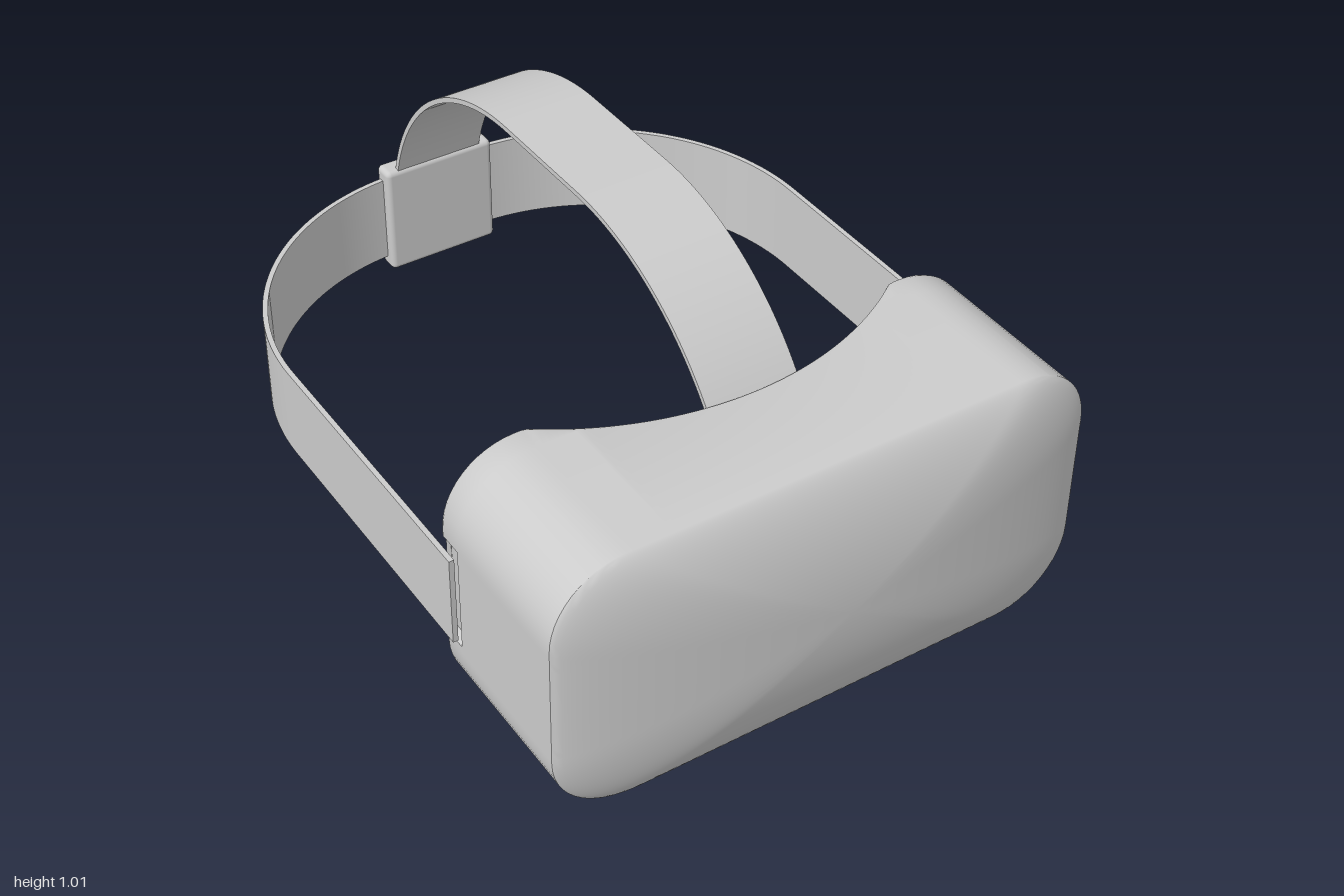
import * as THREE from 'three';
import { toCreasedNormals } from 'three/addons/utils/BufferGeometryUtils.js';
import { RoundedBoxGeometry } from 'three/addons/geometries/RoundedBoxGeometry.js';

const grey = new THREE.MeshStandardMaterial({ color: 0xcccccc });
const thin = new THREE.MeshStandardMaterial({ color: 0xcccccc, side: THREE.DoubleSide });
const MID = 0.372;

function add(parent, name, geometry, material = grey) {
  const mesh = new THREE.Mesh(geometry, material);
  mesh.name = name;
  parent.add(mesh);
  return mesh;
}

// Rounded rectangle, counter-clockwise, always with the same number of points
function outline(hx, hy, r) {
  const pts = [];
  const corner = (cx, cy, a0) => {
    for (let i = 0; i < 12; i++) {
      const a = a0 + (i / 12) * Math.PI / 2;
      pts.push([cx + r * Math.cos(a), cy + r * Math.sin(a)]);
    }
  };
  const edge = (x0, y0, x1, y1, n) => {
    for (let i = 0; i < n; i++) pts.push([x0 + (x1 - x0) * i / n, y0 + (y1 - y0) * i / n]);
  };
  const X = hx - r, Y = hy - r;
  edge(hx, -Y, hx, Y, 24);
  corner(X, Y, 0);
  edge(X, hy, -X, hy, 64);
  corner(-X, Y, Math.PI / 2);
  edge(-hx, Y, -hx, -Y, 24);
  corner(-X, -Y, Math.PI);
  edge(-X, -hy, X, -hy, 64);
  corner(X, -Y, -Math.PI / 2);
  return pts;
}

// Skin between rings of equal point count
function loft(rings, closed, crease) {
  const n = rings[0].length, idx = [];
  for (let k = 0; k < rings.length - 1; k++) {
    for (let i = 0; i < (closed ? n : n - 1); i++) {
      const a = k * n + i, b = k * n + (i + 1) % n;
      idx.push(a, a + n, b, b, a + n, b + n);
    }
  }
  const g = new THREE.BufferGeometry();
  g.setAttribute('position', new THREE.Float32BufferAttribute(rings.flat(2), 3));
  g.setIndex(idx);
  return toCreasedNormals(g, crease);
}

// Rear edge: a face-shaped arc, with a nose notch in the bottom wall
function rearZ(x, y) {
  const ax = Math.abs(x);
  const z = ax < 0.52 ? -0.305 + Math.sqrt(0.7744 - x * x) : 0.405;
  if (y > -0.28 || ax >= 0.17) return z;
  return Math.max(z, 0.6 + 0.19 * Math.sqrt(1 - (ax / 0.17) ** 2));
}

function housingGeometry() {
  const place = (pts, zf, scale = 1) =>
    pts.map(([x, y]) => [x * scale, y * scale + MID, zf(x, y)]);
  const outer = outline(0.75, 0.372, 0.2);
  const soft = outline(0.735, 0.357, 0.187);
  const lip = outline(0.635, 0.312, 0.16);
  const inner = outline(0.62, 0.3, 0.15);
  // shallow side recesses where the strap is fixed
  const recessed = outer.map(([x, y]) =>
    Math.abs(x) > 0.749 && y > -0.137 && y < 0.148 ? [Math.sign(x) * 0.73, y] : [x, y]);
  const rings = [];
  // domed front
  for (let i = 0; i <= 20; i++) {
    const s = Math.sin((i / 20) * Math.PI / 2);
    rings.push(place(outer, () => 0.89 + 0.11 * Math.pow(Math.max(0, 1 - s * s), 0.7), s));
  }
  // sides, rim, cavity wall and cavity floor
  const slotZ = (x, y) => Math.max(0.485, rearZ(x, y) + 0.015);
  rings.push(place(outer, slotZ));
  rings.push(place(recessed, slotZ));
  rings.push(place(recessed, (x, y) => rearZ(x, y) + 0.015));
  rings.push(place(recessed.map(([x, y], i) => [x + (soft[i][0] - outer[i][0]) * 0.3,
    y + (soft[i][1] - outer[i][1]) * 0.3]), (x, y) => rearZ(x, y) + 0.005));
  rings.push(place(soft, rearZ));
  rings.push(place(lip, rearZ));
  rings.push(place(inner, (x, y) => rearZ(x, y) + 0.01));
  rings.push(place(inner, () => 0.8));
  rings.push(place(inner, () => 0.8, 0));
  return loft(rings, true, 0.5);
}

// Half cone that clears the nose
function noseGeometry() {
  const rings = [];
  for (let k = 0; k <= 10; k++) {
    const t = k / 10, w = 0.17 - 0.11 * Math.sqrt(t), ring = [];
    for (let i = 0; i <= 24; i++) {
      const a = (i / 24) * Math.PI;
      ring.push([w * Math.cos(a), 0.003 + 0.36 * t,
        0.6 + 0.14 * t + (0.19 - 0.13 * t) * Math.sin(a)]);
    }
    rings.push(ring);
  }
  return loft(rings, false, 0.8);
}

const lathe = (pts) => toCreasedNormals(
  new THREE.LatheGeometry(pts.map(([r, h]) => new THREE.Vector2(r, h)), 48), 0.5
).rotateX(-Math.PI / 2);

const extrude = (shape, depth) => toCreasedNormals(
  new THREE.ExtrudeGeometry(shape, { depth, bevelEnabled: false, curveSegments: 32 }), 0.5);

export function createModel() {
  const model = new THREE.Group();
  model.name = 'headset';
  add(model, 'housing', housingGeometry());
  add(model, 'noseCover', noseGeometry(), thin);

  // Eyepieces
  const dome = [];
  for (let i = 0; i <= 12; i++) {
    const a = (i / 12) * Math.PI / 2;
    dome.push([0.147 * Math.cos(a), 0.155 + 0.045 * Math.sin(a)]);
  }
  for (const [side, name] of [[1, 'left'], [-1, 'right']]) {
    const eye = new THREE.Group();
    eye.name = name + 'Eyepiece';
    eye.position.set(side * 0.3, 0.385, 0.8);
    add(eye, 'lensBarrel', lathe([[0.215, 0], [0.195, 0.1], [0.188, 0.17], [0.178, 0.18],
      [0.153, 0.18], [0.147, 0.17], [0.147, 0.15]]));
    add(eye, 'lens', lathe(dome));
    model.add(eye);
  }

  // Strap around the head
  const band = new THREE.Shape();
  const H = Math.PI / 2;
  band.moveTo(-0.77, -0.48);
  band.lineTo(-0.77, 0.33);
  band.absarc(-0.12, 0.33, 0.65, Math.PI, H, true);
  band.absarc(0.12, 0.33, 0.65, H, 0, true);
  band.lineTo(0.77, -0.48);
  band.lineTo(0.756, -0.48);
  band.absarc(0.12, 0.33, 0.636, 0, H, false);
  band.absarc(-0.12, 0.33, 0.636, H, Math.PI, false);
  band.lineTo(-0.756, -0.48);
  add(model, 'sideStrap', extrude(band, 0.255).rotateX(-H)).position.y = 0.25;

  // Strap over the head
  const over = new THREE.Shape();
  over.absarc(0, 0.295, 0.72, 2.5, H, true);
  over.absarc(0.33, 0.365, 0.65, H, 0.22, true);
  over.absarc(0.33, 0.365, 0.636, 0.22, H, false);
  over.absarc(0, 0.295, 0.706, H, 2.5, false);
  add(model, 'topStrap', extrude(over, 0.256).rotateY(H)).position.x = -0.128;

  // Buckle joining both straps
  add(model, 'rearBuckle', new RoundedBoxGeometry(0.33, 0.325, 0.064, 3, 0.015))
    .position.set(0, 0.378, -0.968);

  // Small indicator on the left side
  const light = add(model, 'indicator', new THREE.CylinderGeometry(0.008, 0.008, 0.01, 16).rotateZ(H),
    new THREE.MeshStandardMaterial({ color: 0x22cc33 }));
  light.position.set(0.747, 0.38, 0.8);
  return model;
}
